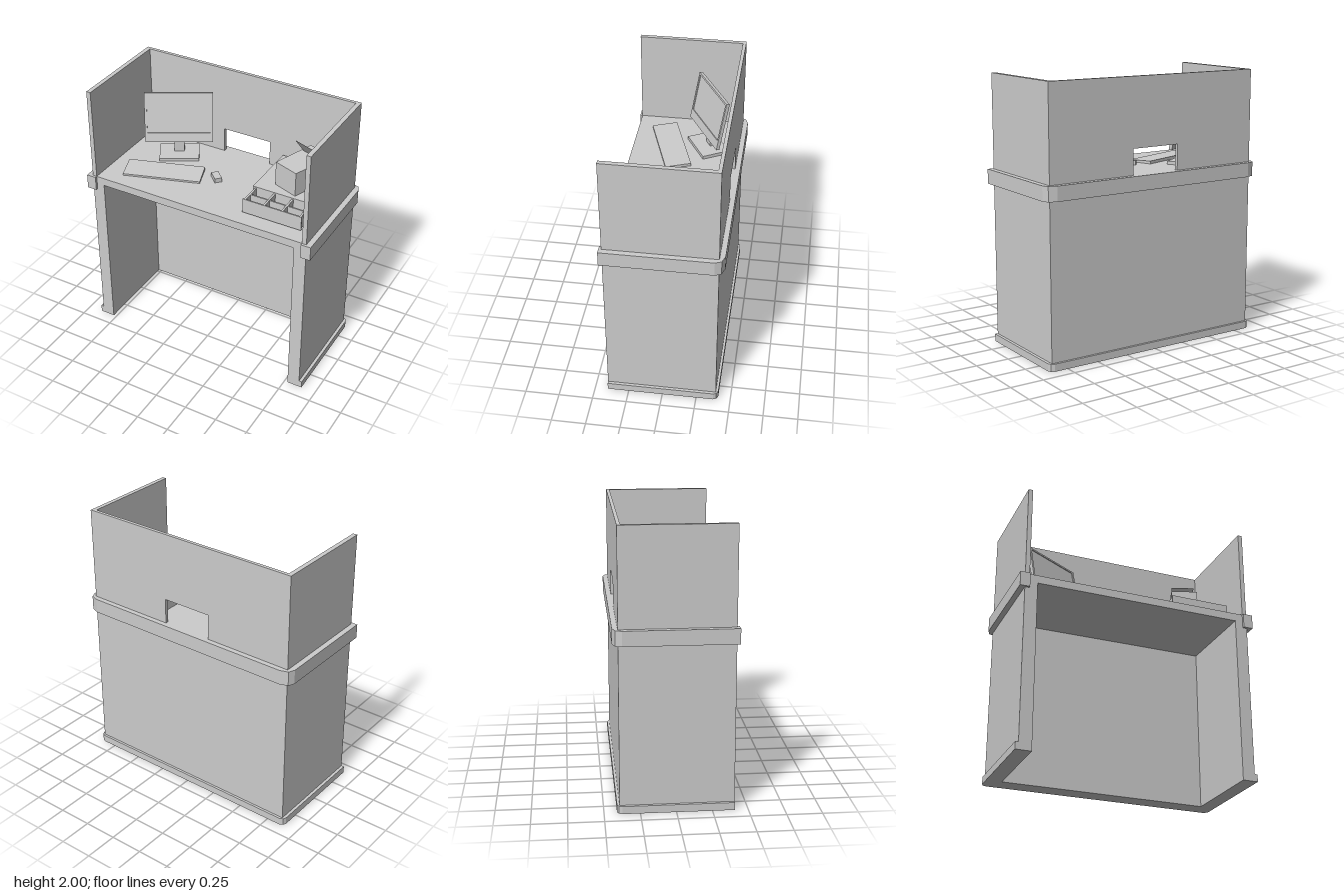
import * as THREE from 'three';

const material = new THREE.MeshStandardMaterial({ color: 0xcccccc, flatShading: true });
const sheetMaterial = new THREE.MeshStandardMaterial({ color: 0xcccccc, flatShading: true, side: THREE.DoubleSide });

const DESK = 1.305; // height of the work surface
const HALF = 0.868, BACK = -0.392, FRONT = 0.406;

function add(parent, name, geometry, mat = material) {
  const mesh = new THREE.Mesh(geometry, mat);
  mesh.name = name;
  parent.add(mesh);
  return mesh;
}

// Box given by its extents
function box(parent, name, x0, x1, y0, y1, z0, z1) {
  const mesh = add(parent, name, new THREE.BoxGeometry(x1 - x0, y1 - y0, z1 - z0));
  mesh.position.set((x0 + x1) / 2, (y0 + y1) / 2, (z0 + z1) / 2);
  return mesh;
}

// Floor plan mirrored across x = 0 and raised from y0 to y1; points are [x, z] of the -x half
function plan(parent, name, half, y0, y1) {
  const points = [...half, ...half.map(([x, z]) => [-x, z]).reverse()];
  const shape = new THREE.Shape(points.map(([x, z]) => new THREE.Vector2(x, -z)));
  const geometry = new THREE.ExtrudeGeometry(shape, { depth: y1 - y0, bevelEnabled: false });
  geometry.rotateX(-Math.PI / 2).translate(0, y0, 0);
  return add(parent, name, geometry);
}

// A half plan is an open path; inner and outer outlines make a U once joined
function uPlan(parent, name, outer, inner, y0, y1) {
  const mirror = (p) => p.map(([x, z]) => [-x, z]).reverse();
  const points = [...outer, ...mirror(outer), ...inner.map(([x, z]) => [-x, z]), ...[...inner].reverse()];
  const shape = new THREE.Shape(points.map(([x, z]) => new THREE.Vector2(x, -z)));
  const geometry = new THREE.ExtrudeGeometry(shape, { depth: y1 - y0, bevelEnabled: false });
  geometry.rotateX(-Math.PI / 2).translate(0, y0, 0);
  return add(parent, name, geometry);
}

function group(parent, name, x, y, z, turn) {
  const g = new THREE.Group();
  g.name = name;
  g.position.set(x, y, z);
  g.rotation.y = turn;
  parent.add(g);
  return g;
}

function buildBooth(root) {
  const opening = [[-0.775, FRONT], [-0.775, -0.27]];
  uPlan(root, 'lowerBody', [[-HALF, FRONT], [-HALF, BACK]], opening, 0.055, DESK);
  uPlan(root, 'baseboard',
    [[-0.89, FRONT], [-0.89, -0.375], [-0.88, -0.397], [-0.855, -0.41]], opening, 0, 0.055);
  box(root, 'deskTop', -0.775, 0.775, 1.245, DESK, -0.27, FRONT);

  // Trim band with clipped rear corners and short returns on the front
  uPlan(root, 'trimBand',
    [[-0.835, 0.424], [-0.908, 0.424], [-0.908, -0.365], [-0.888, -0.41], [-0.83, -0.43]],
    [[-0.835, FRONT], [-HALF, FRONT], [-HALF, BACK]], 1.197, DESK);

  // Upper screen with a pass-through window
  for (const s of [-1, 1]) {
    const x = s * (HALF - 0.0165);
    box(root, s > 0 ? 'leftScreen' : 'rightScreen', x - 0.0165, x + 0.0165, DESK, 2, BACK + 0.025, FRONT);
  }
  const wall = new THREE.Shape([
    [-HALF, DESK], [-0.195, DESK], [-0.195, 1.495], [0.187, 1.495],
    [0.187, DESK], [HALF, DESK], [HALF, 2], [-HALF, 2],
  ].map(([x, y]) => new THREE.Vector2(x, y)));
  const back = new THREE.ExtrudeGeometry(wall, { depth: 0.025, bevelEnabled: false });
  add(root, 'backScreen', back).position.z = BACK;
}

function buildComputer(root) {
  const monitor = group(root, 'monitor', -0.468, DESK, -0.16, 0.515);
  box(monitor, 'monitorFoot', -0.148, 0.148, 0, 0.025, -0.105, 0.105);
  box(monitor, 'monitorNeck', -0.0375, 0.0375, 0.025, 0.2, -0.04, 0);

  // Tilted panel: frame with a sunken display
  const panel = group(monitor, 'monitorPanel', 0, 0.315, -0.004, 0);
  panel.rotation.x = -0.195;
  box(panel, 'monitorBack', -0.2525, 0.2525, -0.19, 0.19, -0.0125, 0.006);
  const frame = new THREE.Shape([[-0.2525, -0.19], [0.2525, -0.19], [0.2525, 0.19], [-0.2525, 0.19]]
    .map(([x, y]) => new THREE.Vector2(x, y)));
  frame.holes.push(new THREE.Path([[-0.235, -0.118], [-0.235, 0.175], [0.235, 0.175], [0.235, -0.118]]
    .map(([x, y]) => new THREE.Vector2(x, y))));
  const bezel = new THREE.ExtrudeGeometry(frame, { depth: 0.0065, bevelEnabled: false });
  add(panel, 'monitorBezel', bezel).position.z = 0.006;

  // Keyboard, slightly higher at the back
  const keyboard = group(root, 'keyboard', -0.434, DESK, 0.117, 0.319);
  const keys = box(keyboard, 'keyboardBody', -0.288, 0.288, 0, 0.022, -0.096, 0.096);
  const p = keys.geometry.attributes.position;
  for (let i = 0; i < p.count; i++) {
    if (p.getY(i) > 0 && p.getZ(i) > 0) p.setY(i, 0.003);
  }

  const mouse = group(root, 'mouse', -0.054, DESK, 0.005, -0.76);
  box(mouse, 'mouseBody', -0.047, 0.047, 0, 0.034, -0.027, 0.027);
}

function buildCashRegister(root) {
  box(root, 'drawerCase', 0.307, 0.774, DESK, 1.43, -0.345, 0.122);

  // Open drawer with two rows of three trays
  const drawer = group(root, 'cashDrawer', 0.543, 0, 0, 0);
  box(drawer, 'drawerFloor', -0.22, 0.22, 1.32, 1.35, 0.122, 0.285);
  box(drawer, 'drawerFront', -0.227, 0.227, 1.315, 1.425, 0.282, 0.292);
  for (const x of [-0.213, -0.065, 0.075, 0.213]) {
    box(drawer, 'drawerDivider', x - 0.007, x + 0.007, 1.35, 1.42, 0.122, 0.282);
  }
  box(drawer, 'drawerCrossDivider', -0.206, 0.206, 1.35, 1.418, 0.2, 0.211);

  const register = group(root, 'register', 0.585, 1.43, -0.102, -0.345);
  box(register, 'registerBody', -0.1, 0.1, 0, 0.185, -0.17, 0.17);

  // Thin display leaning forward
  const sheet = add(register, 'registerDisplay', new THREE.PlaneGeometry(0.175, 0.147), sheetMaterial);
  sheet.position.set(0.004, 0.245, -0.036);
  sheet.rotation.x = Math.atan2(0.086, 0.12);
}

export function createModel() {
  const root = new THREE.Group();
  root.name = 'serviceBooth';
  buildBooth(root);
  buildComputer(root);
  buildCashRegister(root);
  return root;
}
